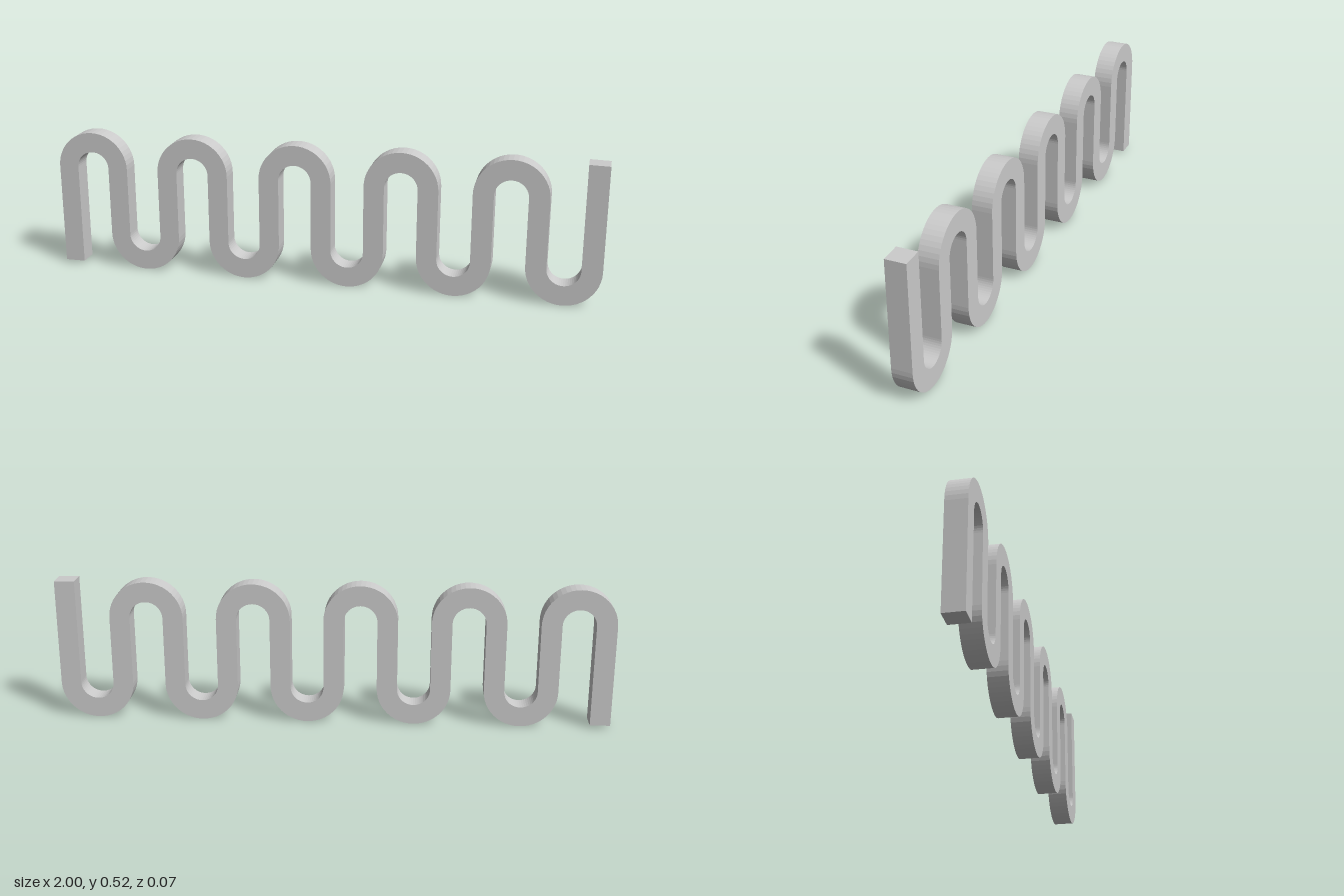
import * as THREE from 'three';

export function createModel() {
  const group = new THREE.Group();
  const width = 0.073;            // square section of the bar
  const legs = 11;
  const pitch = (2 - width) / (legs - 1);
  const height = 0.517;
  const outer = (pitch + width) / 2;
  const inner = (pitch - width) / 2;
  const startX = -1 + width / 2;
  const steps = 24;               // facets per half-turn bend

  // Both edges of the bar, followed from the lower left end to the upper right end
  const leftEdge = [new THREE.Vector2(-1, 0.01)];
  const rightEdge = [new THREE.Vector2(-1 + width, 0.01)];

  for (let i = 0; i < legs - 1; i++) {
    const top = i % 2 === 0;
    const cx = startX + (i + 0.5) * pitch;
    const cy = top ? height - outer : outer;
    for (let k = 0; k <= steps; k++) {
      const a = Math.PI + (top ? -1 : 1) * Math.PI * k / steps;
      const at = (r) => new THREE.Vector2(cx + r * Math.cos(a), cy + r * Math.sin(a));
      leftEdge.push(at(top ? outer : inner));
      rightEdge.push(at(top ? inner : outer));
    }
  }
  leftEdge.push(new THREE.Vector2(1 - width, height));
  rightEdge.push(new THREE.Vector2(1, height - 0.002));

  // Extrude the serpentine outline, centred in depth
  const outline = new THREE.Shape([...leftEdge, ...rightEdge.reverse()]);
  const geometry = new THREE.ExtrudeGeometry(outline, { depth: width, bevelEnabled: false });
  geometry.translate(0, 0, -width / 2);

  const bar = new THREE.Mesh(geometry, new THREE.MeshStandardMaterial({ color: 0xcccccc, flatShading: true }));
  bar.name = 'serpentineBar';
  group.add(bar);
  return group;
}
